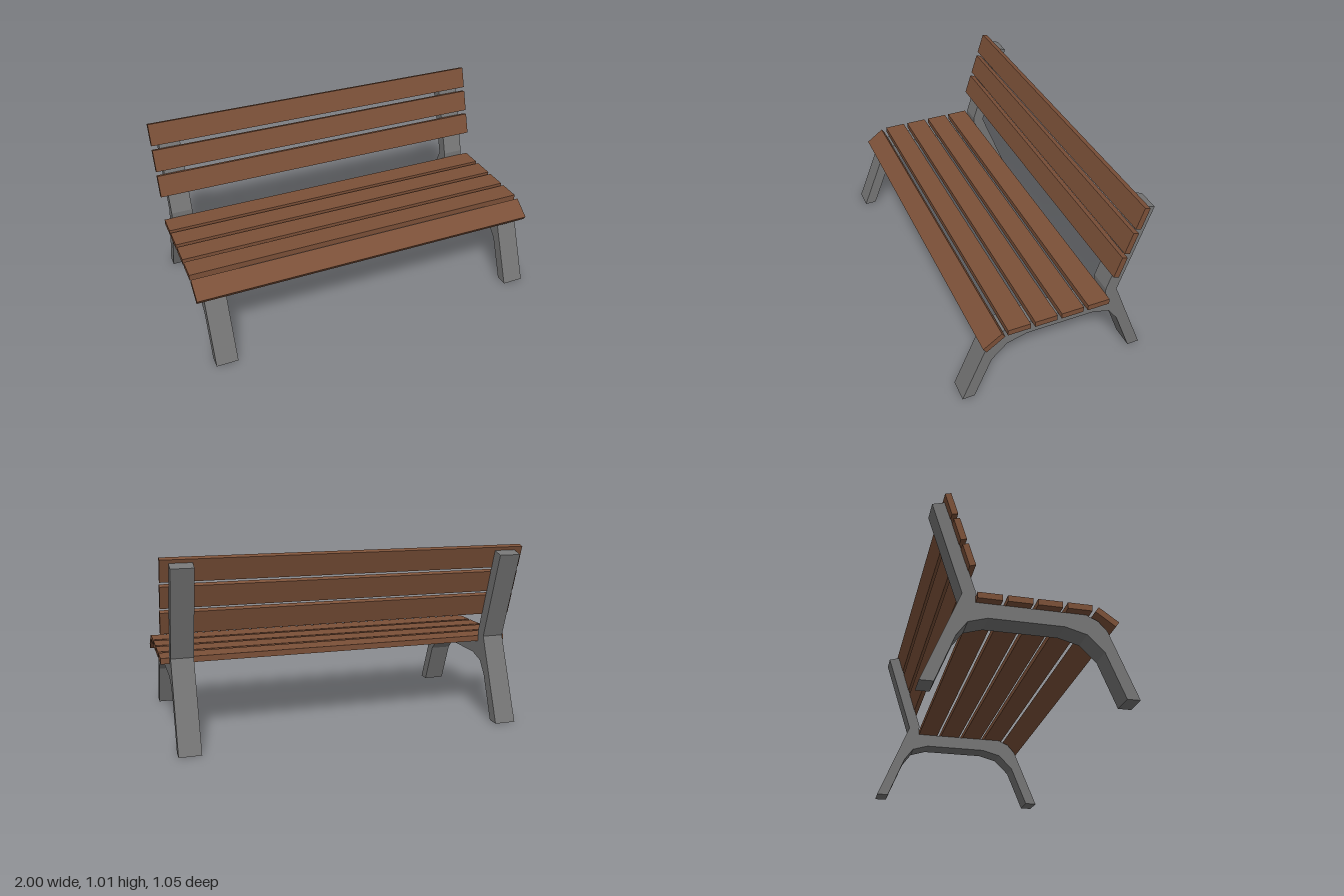
import * as THREE from 'three';

export function createModel() {
  const model = new THREE.Group();
  model.name = 'parkBench';
  const wood = new THREE.MeshStandardMaterial({ name: 'brown wood', color: 0x7b5038 });
  const iron = new THREE.MeshStandardMaterial({ name: 'grey iron', color: 0x757575 });

  // Side frame outline as (z, y): legs, seat rail and backrest post
  const outline = [
    [0.527, 0], [0.385, 0.35], [0.34, 0.4], [0.28, 0.428], [-0.27, 0.428], [-0.27, 0.49],
    [-0.427, 0.98], [-0.492, 0.96], [-0.335, 0.47], [-0.525, 0], [-0.457, 0], [-0.36, 0.245],
    [-0.306, 0.32], [-0.21, 0.35], [0.17, 0.35], [0.28, 0.32], [0.365, 0.235], [0.46, 0],
  ].map(([z, y]) => new THREE.Vector2(z, y));
  const frameWidth = 0.12;
  const frameGeometry = new THREE.ExtrudeGeometry(new THREE.Shape(outline), {
    depth: frameWidth, bevelEnabled: false,
  });
  frameGeometry.translate(0, 0, -frameWidth / 2).rotateY(-Math.PI / 2);
  for (const [name, side] of [['leftFrame', 1], ['rightFrame', -1]]) {
    const frame = new THREE.Mesh(frameGeometry, iron);
    frame.name = name;
    frame.position.x = side * 0.895;
    model.add(frame);
  }

  // Full-length boards
  const slatGeometry = new THREE.BoxGeometry(2, 0.032, 0.123);
  function addSlat(name, y, z, tilt) {
    const slat = new THREE.Mesh(slatGeometry, wood);
    slat.name = name;
    slat.position.set(0, y, z);
    slat.rotation.x = tilt;
    model.add(slat);
  }

  // Flat seat boards and the tilted front board
  for (let i = 0; i < 4; i++) addSlat(`seatSlat${i + 1}`, 0.444, 0.236 - i * 0.148, 0);
  addSlat('frontSlat', 0.404, 0.371, 0.62);

  // Backrest boards, leaning with the posts
  for (let i = 0; i < 3; i++) {
    addSlat(`backSlat${i + 1}`, 0.661 + i * 0.1415, -0.311 - i * 0.0455, Math.PI / 2 - 0.306);
  }
  return model;
}
